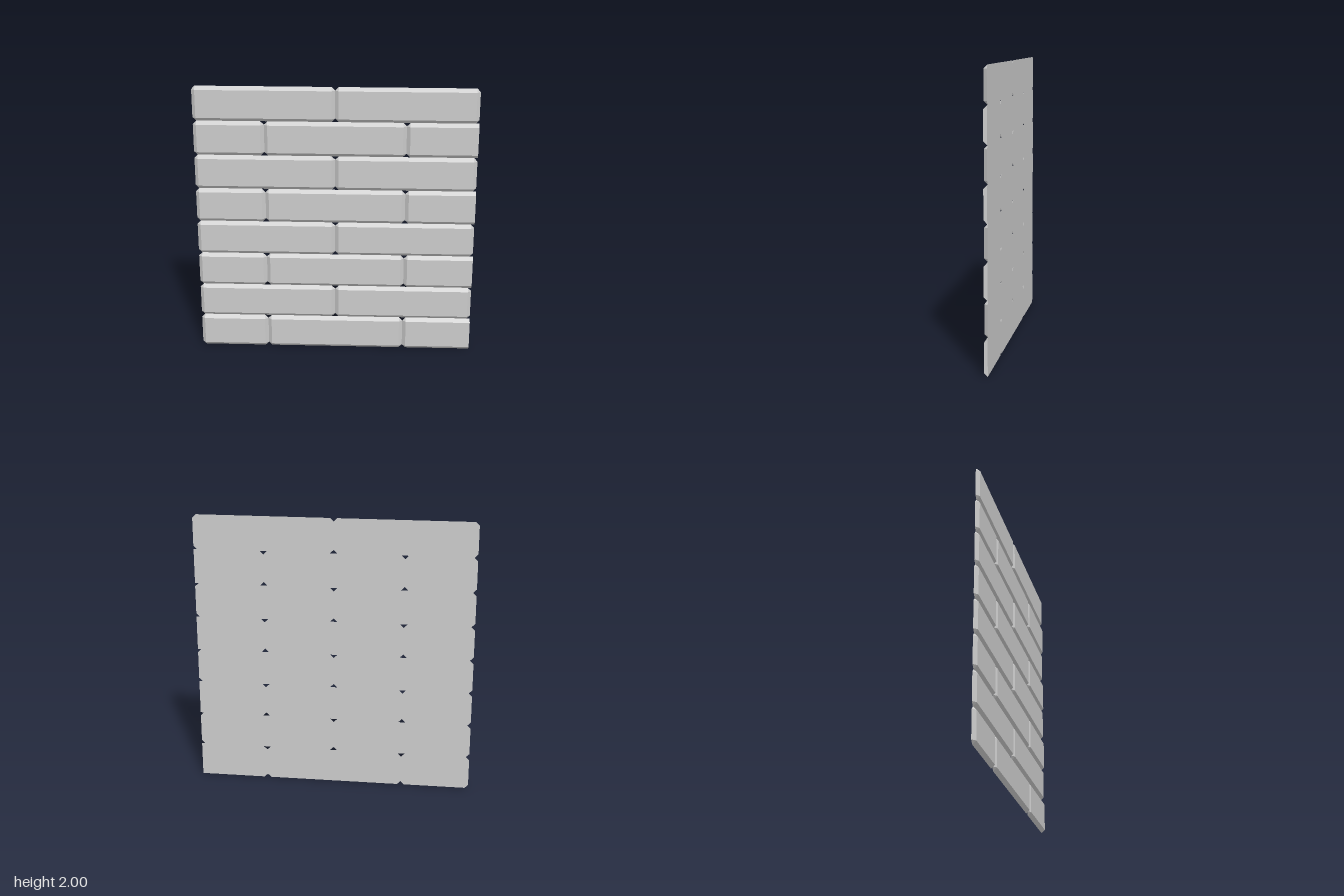
import * as THREE from 'three';
import { ConvexGeometry } from 'three/addons/geometries/ConvexGeometry.js';

const ROWS = 8, ROW_H = 0.25, BEVEL = 0.025, Z = 0.0125;

// Brick spanning x0..x1, y0..y0+ROW_H: flat back with clipped corners,
// bevelled front. cutEnd leaves the x1 end sawn off square.
function brickGeometry(x0, x1, y0, cutEnd) {
  const y1 = y0 + ROW_H, points = [];
  for (const [x, dir, cut] of [[x0, 1, false], [x1, -1, cutEnd]]) {
    const inner = cut ? x : x + dir * BEVEL;
    for (const [y, up] of [[y0, 1], [y1, -1]]) {
      points.push(new THREE.Vector3(inner, y, -Z));
      if (!cut) points.push(new THREE.Vector3(x, y + up * BEVEL, -Z));
      points.push(new THREE.Vector3(inner, y + up * BEVEL, Z));
    }
  }
  return new ConvexGeometry(points);
}

export function createModel() {
  const wall = new THREE.Group();
  wall.name = 'brickWall';
  const material = new THREE.MeshStandardMaterial({ color: 0xcccccc, flatShading: true });

  // Running bond: rows with half bricks at the ends alternate with whole rows
  for (let row = 0; row < ROWS; row++) {
    const course = new THREE.Group();
    course.name = `course${row + 1}`;
    const staggered = row % 2 === 0;
    const joints = staggered ? [-1, -0.5, 0.5, 1] : [-1, 0, 1];
    for (let i = 0; i < joints.length - 1; i++) {
      const cutEnd = staggered && i === joints.length - 2;
      const brick = new THREE.Mesh(
        brickGeometry(joints[i], joints[i + 1], row * ROW_H, cutEnd), material);
      brick.name = joints[i + 1] - joints[i] < 1 ? 'halfBrick' : 'brick';
      course.add(brick);
    }
    wall.add(course);
  }
  return wall;
}
